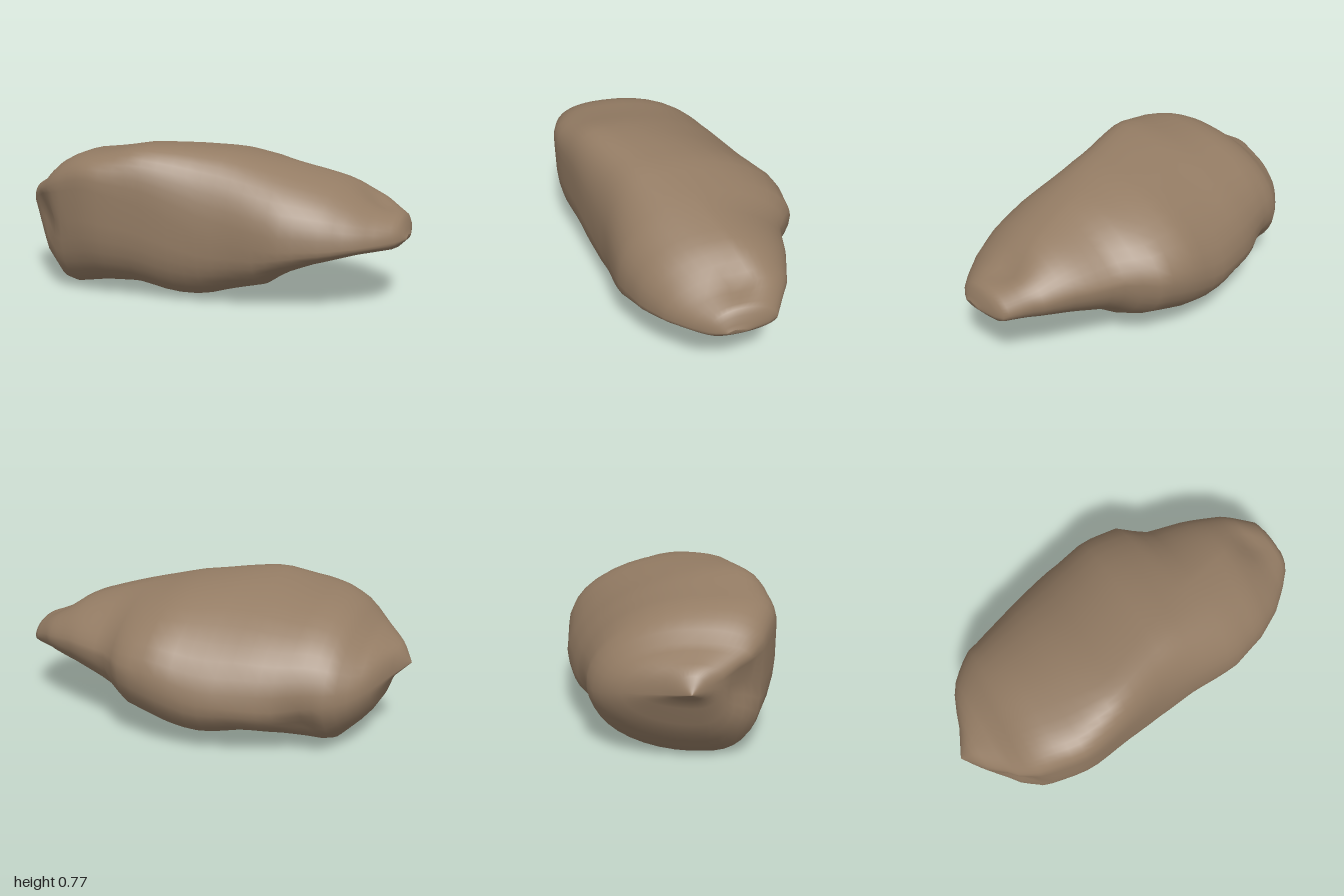
import * as THREE from 'three';

// Linear lookup through [x, value] pairs
const at = (pairs, x) => {
  let i = 1;
  while (i < pairs.length - 1 && x > pairs[i][0]) i++;
  const [x0, v0] = pairs[i - 1], [x1, v1] = pairs[i];
  return THREE.MathUtils.lerp(v0, v1, THREE.MathUtils.clamp((x - x0) / (x1 - x0), 0, 1));
};

// Outlines along the length of the boulder
const top = [[-1, .41], [-.95, .5], [-.8, .58], [-.73, .655], [-.62, .71], [-.45, .735], [-.25, .775], [-.1, .77],
  [.15, .745], [.4, .69], [.55, .65], [.68, .61], [.85, .515], [.97, .45], [1, .36]];
const bottom = [[-1, .41], [-.92, .34], [-.87, .2], [-.82, .13], [-.69, 0], [-.48, .04], [-.3, .05], [-.1, .005],
  [.03, .005], [.15, .04], [.35, .09], [.45, .16], [.6, .22], [.8, .28], [.95, .3], [1, .35]];
const back = [[-1, .18], [-.92, 0], [-.9, -.1], [-.83, -.22], [-.72, -.32], [-.65, -.34], [-.4, -.44], [-.17, -.51],
  [.1, -.545], [.28, -.52], [.4, -.42], [.6, -.37], [.8, -.3], [.97, -.19], [1, -.03]];
const front = [[-1, .18], [-.9, .33], [-.8, .44], [-.7, .49], [-.5, .54], [-.4, .535], [-.2, .495], [0, .46],
  [.2, .435], [.47, .43], [.66, .37], [.8, .29], [.9, .2], [.97, .12], [1, .05]];
// Where each section peaks, rests and is widest
const crestZ = [[-1, .18], [-.8, .2], [-.25, .3], [.03, .18], [.4, .04], [.65, -.04], [.85, -.12], [1, 0]];
const baseZ = [[-1, .18], [-.69, .16], [-.1, .1], [.3, .03], [.7, -.03], [1, 0]];
const frontY = [[-1, .41], [-.8, .5], [-.5, .57], [-.2, .5], [.1, .36], [.4, .32], [.7, .33], [1, .355]];
const backY = [[-1, .41], [-.8, .33], [-.5, .28], [-.1, .3], [.1, .37], [.3, .41], [.65, .43], [.85, .41], [1, .355]];
// Squareness of the upper and lower edges
const frontUpper = [[-1, 2.1], [-.5, 2.9], [.1, 2.5], [.5, 2.2], [1, 2]];
const frontLower = [[-1, 2.2], [-.69, 3.1], [-.15, 3.2], [.4, 2.8], [1, 2.2]];
const backUpper = [[-1, 2], [-.55, 2.1], [-.2, 1.85], [.1, 2], [.45, 1.6], [.8, 1.8], [1, 2]];
const backLower = [[-1, 2], [-.6, 2], [-.1, 2.2], [1, 2]];

// Dents and folds: centre, radius, offset
const dents = [
  [[-.8, .38, .42], .11, [.03, 0, -.04]],
  [[.82, .5, -.06], .09, [0, -.03, 0]],
  [[-.58, .19, -.33], .1, [0, 0, .05]],
  [[.05, .58, .38], .2, [0, 0, -.015]],
].map(([c, r, d]) => ({ c: new THREE.Vector3(...c), r, d: new THREE.Vector3(...d) }));

// Loft of superelliptic sections whose four quadrants differ
function boulderGeometry(rings = 44, sides = 40) {
  const pos = [], index = [];
  const p = new THREE.Vector3();
  for (let i = 0; i <= rings; i++) {
    const x = -Math.cos(Math.PI * i / rings);
    const end = i === 0 || i === rings;
    for (let j = 0; j < sides; j++) {
      const t = 2 * Math.PI * j / sides, c = Math.cos(t), s = Math.sin(t);
      const up = s >= 0, fore = c >= 0;
      const edge = fore ? (up ? frontUpper : frontLower) : (up ? backUpper : backLower);
      const n = at(edge, x);
      const u = Math.abs(c) ** (2 / n), v = Math.abs(s) ** (2 / n);
      const midZ = at(up ? crestZ : baseZ, x), midY = at(fore ? frontY : backY, x);
      p.set(x,
        THREE.MathUtils.lerp(midY, at(up ? top : bottom, x), v),
        THREE.MathUtils.lerp(midZ, at(fore ? front : back, x), u));
      if (end) p.set(x, i ? .37 : .41, i ? .02 : .18);
      for (const { c: centre, r, d } of dents) {
        p.addScaledVector(d, Math.exp(-p.distanceToSquared(centre) / (r * r)));
      }
      pos.push(p.x, p.y, p.z);
      if (i < rings) {
        const k = (j + 1) % sides, a = i * sides + j, b = i * sides + k;
        if (i > 0) index.push(a, a + sides, b);
        if (i < rings - 1) index.push(a + sides, b + sides, b);
      }
    }
  }
  const g = new THREE.BufferGeometry();
  g.setAttribute('position', new THREE.Float32BufferAttribute(pos, 3));
  g.setIndex(index);
  g.computeVertexNormals();
  return g;
}

export function createModel() {
  const group = new THREE.Group();
  group.name = 'rock';
  const stone = new THREE.MeshStandardMaterial({ color: 0x947c64 });
  stone.name = 'brown stone';
  const boulder = new THREE.Mesh(boulderGeometry(), stone);
  boulder.name = 'boulder';
  group.add(boulder);
  return group;
}
